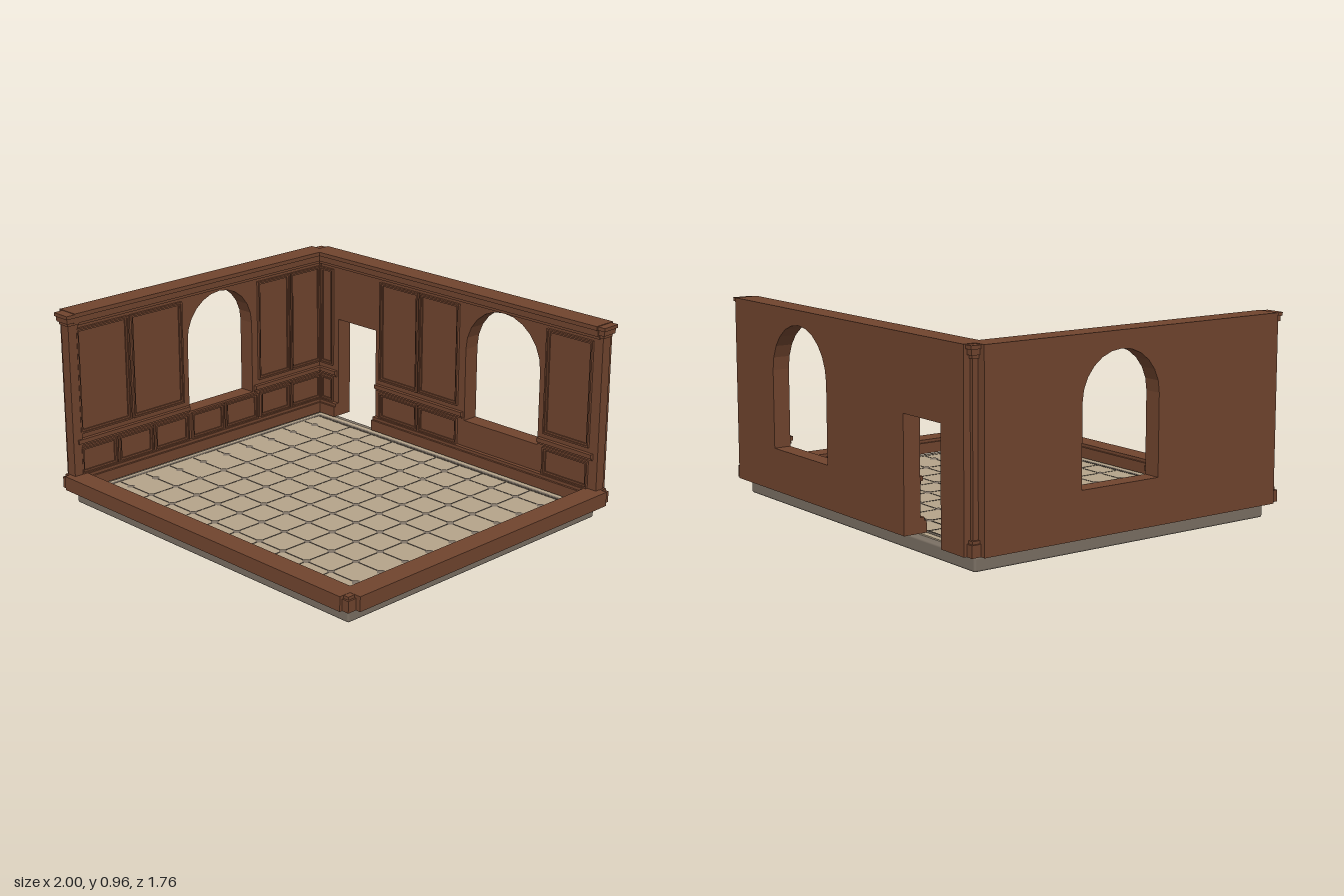
import * as THREE from 'three';
import { RoundedBoxGeometry } from 'three/addons/geometries/RoundedBoxGeometry.js';

const mat = (name, color) => {
  const m = new THREE.MeshStandardMaterial({ color });
  m.name = name;
  return m;
};

export function createModel() {
  const wood = mat('brown wood', 0x70442e);
  const stone = mat('grey stone', 0x7a6f63);
  const tile = mat('beige tile', 0xb5a48a);
  const grout = mat('dark grout', 0x5a5148);

  const room = new THREE.Group();
  room.name = 'room';

  const add = (parent, name, geometry, material) => {
    const m = new THREE.Mesh(geometry, material);
    m.name = name;
    parent.add(m);
    return m;
  };
  // box given by its limits on each axis
  const box = (parent, name, x0, x1, y0, y1, z0, z1, material = wood) => {
    const m = add(parent, name, new THREE.BoxGeometry(x1 - x0, y1 - y0, z1 - z0), material);
    m.position.set((x0 + x1) / 2, (y0 + y1) / 2, (z0 + z1) / 2);
    return m;
  };
  const rectangle = (x0, x1, y0, y1) => [
    new THREE.Vector2(x0, y0), new THREE.Vector2(x1, y0),
    new THREE.Vector2(x1, y1), new THREE.Vector2(x0, y1),
  ];

  const BASE = 0.077, CURB = 0.147, TOP = 0.96, THICK = 0.085;

  // moulded frame in two steps, standing on the inner wall face
  const panelFrame = (wall, x0, x1, y0, y1) => {
    for (const [inset, width, depth] of [[0, 0.008, 0.014], [0.008, 0.009, 0.007]]) {
      const s = new THREE.Shape(rectangle(x0 + inset, x1 - inset, y0 + inset, y1 - inset));
      const i = inset + width;
      s.holes.push(new THREE.Path(rectangle(x0 + i, x1 - i, y0 + i, y1 - i)));
      const g = new THREE.ExtrudeGeometry(s, { depth, bevelEnabled: false });
      add(wall, 'panelFrame', g, wood).position.z = THICK;
    }
  };

  // wall in local space: x along it, z from the outer face into the room
  const buildWall = (name, o) => {
    const wall = new THREE.Group();
    wall.name = name;
    const outline = [new THREE.Vector2(o.x0, BASE)];
    if (o.door) {
      const [a, b, h] = o.door;
      outline.push(new THREE.Vector2(a, BASE), new THREE.Vector2(a, h),
        new THREE.Vector2(b, h), new THREE.Vector2(b, BASE));
    }
    outline.push(new THREE.Vector2(o.x1, BASE), new THREE.Vector2(o.x1, TOP), new THREE.Vector2(o.x0, TOP));
    const shape = new THREE.Shape(outline);

    // round-headed window
    const w = o.window;
    const arch = [new THREE.Vector2(w.x - w.r, w.sill), new THREE.Vector2(w.x + w.r, w.sill)];
    for (let i = 0; i <= 12; i++) {
      const a = (i / 12) * Math.PI;
      arch.push(new THREE.Vector2(w.x + Math.cos(a) * w.r, w.spring + Math.sin(a) * w.r));
    }
    shape.holes.push(new THREE.Path(arch));
    add(wall, 'wallBody', new THREE.ExtrudeGeometry(shape, { depth: THICK, bevelEnabled: false }), wood);

    // panelling
    for (const [a, b] of o.upper) panelFrame(wall, a, b, 0.352, 0.877);
    for (const [a, b] of o.lower) panelFrame(wall, a, b, 0.145, 0.283);
    for (const [a, b] of o.rails) {
      box(wall, 'chairRail', a, b, 0.305, 0.326, THICK, THICK + 0.02);
      box(wall, 'chairRailLip', a, b, 0.293, 0.305, THICK, THICK + 0.01);
    }
    // stepped skirting and cornice
    for (const [a, b] of o.skirting) {
      box(wall, 'skirting', a, b, BASE, 0.132, THICK, 0.117);
      box(wall, 'skirtingCap', a, b, 0.132, CURB, THICK, 0.106);
    }
    box(wall, 'corniceLower', o.x0, o.x1, 0.893, 0.908, THICK, 0.096);
    box(wall, 'corniceMiddle', o.x0, o.x1, 0.908, 0.94, THICK, 0.107);
    box(wall, 'corniceTop', o.x0, o.x1, 0.94, TOP, THICK, 0.118);
    room.add(wall);
    return wall;
  };

  const back = buildWall('backWall', {
    x0: -0.94, x1: 0.94,
    door: [-0.775, -0.5, 0.612],
    window: { x: 0.355, r: 0.236, sill: 0.282, spring: 0.654 },
    upper: [[-0.905, -0.81], [-0.465, -0.2], [-0.19, 0.075], [0.63, 0.905]],
    lower: [[-0.905, -0.81], [-0.465, -0.2], [-0.19, 0.075], [0.63, 0.905]],
    rails: [[-0.915, -0.785], [-0.49, 0.11], [0.6, 0.93]],
    skirting: [[-0.915, -0.775], [-0.5, 0.94]],
  });
  back.position.z = -0.88;

  const side = buildWall('rightWall', {
    x0: -0.82, x1: 0.82,
    window: { x: 0.098, r: 0.213, sill: 0.293, spring: 0.667 },
    upper: [[-0.8, -0.49], [-0.475, -0.155], [0.35, 0.572], [0.58, 0.793]],
    lower: [[-0.8, -0.582], [-0.572, -0.358], [-0.348, -0.128], [-0.108, 0.108],
      [0.118, 0.338], [0.358, 0.568], [0.578, 0.793]],
    rails: [[-0.82, -0.125], [0.32, 0.795]],
    skirting: [[-0.82, 0.795]],
  });
  side.rotation.y = Math.PI / 2;
  side.position.x = -1;

  // low kerbs on the two open sides
  for (const [name, half, angle, x, z] of [['frontKerb', 0.94, Math.PI, 0, 0.88], ['leftKerb', 0.82, -Math.PI / 2, 1, 0]]) {
    const kerb = new THREE.Group();
    kerb.name = name;
    box(kerb, 'kerbBody', -half, half, BASE, CURB, 0, 0.106);
    box(kerb, 'kerbFoot', -half, half, BASE, 0.132, 0.106, 0.118);
    kerb.rotation.y = angle;
    kerb.position.set(x, 0, z);
    room.add(kerb);
  }

  // corner posts; the open corner keeps only its foot
  for (const [sx, sz] of [[-1, -1], [1, -1], [-1, 1], [1, 1]]) {
    const post = new THREE.Group();
    post.name = 'cornerPost';
    const block = (name, half, y0, y1) => box(post, name, -half, half, y0, y1, -half, half);
    block('postFoot', 0.046, BASE, 0.132);
    block('postFootCap', 0.037, 0.132, CURB - 0.001);
    if (!(sx > 0 && sz > 0)) {
      block('postShaft', 0.027, CURB - 0.001, 0.9);
      block('postNeck', 0.033, 0.9, 0.915);
      block('postCapital', 0.042, 0.915, 0.94);
      block('postCap', 0.049, 0.94, 0.957);
    }
    post.position.set(sx * 0.93, 0, sz * 0.82);
    room.add(post);
  }

  // base slab and tiled floor
  add(room, 'baseSlab', new RoundedBoxGeometry(1.86, 0.065, 1.64, 2, 0.01), stone).position.y = 0.0325;
  box(room, 'floor', -0.89, 0.89, 0.06, 0.071, -0.78, 0.78, tile);

  const strip = (name, x, z, w, d, material = grout) =>
    box(room, name, x - w / 2, x + w / 2, 0.07, 0.0725, z - d / 2, z + d / 2, material);
  for (const s of [-1, 1]) {
    strip('floorBorder', 0, s * 0.742, 1.74, 0.016, stone);
    strip('floorBorder', s * 0.863, 0, 0.016, 1.48, stone);
    strip('groutLine', 0, s * 0.727, 1.7, 0.005);
  }
  const STEP = 0.154;
  for (let i = -4; i <= 4; i++) {
    strip('groutLine', i * STEP, 0, 0.006, 1.45);
    strip('groutLine', 0, i * STEP, 1.69, 0.006);
  }
  // raised diamond studs at the tile corners
  const stud = new THREE.ConeGeometry(0.026, 0.008, 4).toNonIndexed();
  stud.computeVertexNormals();
  for (let i = -5; i <= 5; i++) {
    for (let j = -4; j <= 4; j++) {
      add(room, 'floorStud', stud, stone).position.set(i * STEP, 0.0745, j * STEP);
    }
  }
  return room;
}
